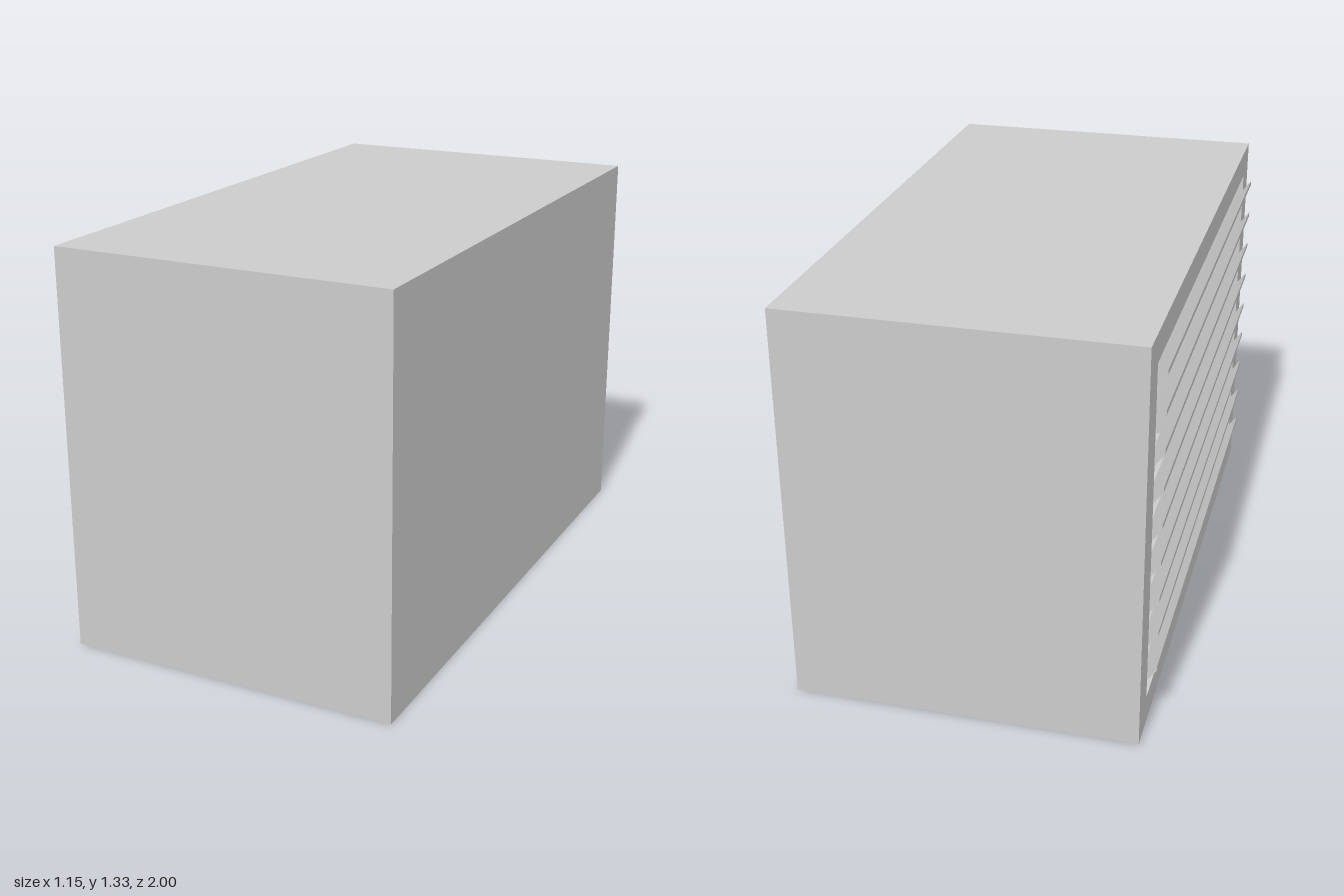
import * as THREE from 'three';

const HEIGHT = 1.333, LENGTH = 2;
const OPEN_X = -0.547, BACK_X = 0.577, PANEL = 0.037; // open side, closed side, closed wall thickness
const HOLE_Z = 0.89, HOLE_BOTTOM = 0.097, HOLE_TOP = 1.238;

function polygon(points, Type = THREE.Shape) {
  return new Type(points.map(([x, y]) => new THREE.Vector2(x, y)));
}

function rectangle(x0, y0, x1, y1, Type) {
  return polygon([[x0, y0], [x1, y0], [x1, y1], [x0, y1]], Type);
}

export function createModel() {
  const model = new THREE.Group();
  const material = new THREE.MeshStandardMaterial({ color: 0xcccccc, flatShading: true });
  const add = (name, geometry, parent = model) => {
    const mesh = new THREE.Mesh(geometry, material);
    mesh.name = name;
    parent.add(mesh);
    return mesh;
  };

  // Thick hollow casing, extruded along x
  const section = rectangle(-LENGTH / 2, 0, LENGTH / 2, HEIGHT);
  section.holes.push(rectangle(-HOLE_Z, HOLE_BOTTOM, HOLE_Z, HOLE_TOP, THREE.Path));
  const casing = new THREE.ExtrudeGeometry(section, {
    depth: BACK_X - PANEL - OPEN_X, bevelEnabled: false,
  });
  casing.rotateY(Math.PI / 2).translate(OPEN_X, 0, 0);
  add('casing', casing);

  // Panel closing the far side
  const panel = new THREE.BoxGeometry(PANEL, HEIGHT, LENGTH);
  panel.translate(BACK_X - PANEL / 2, HEIGHT / 2, 0);
  add('closedSide', panel);

  // Slanted louvre slats centred on the opening plane, outer edge high
  const louvres = new THREE.Group();
  louvres.name = 'louvres';
  model.add(louvres);
  const reach = 0.03, drop = 0.041, half = 0.008;
  const slat = new THREE.ExtrudeGeometry(polygon([
    [-reach, drop - half], [reach, -drop - half],
    [reach, -drop + half], [-reach, drop + half],
  ]), { depth: 2 * HOLE_Z, bevelEnabled: false });
  slat.translate(0, 0, -HOLE_Z);
  const count = 9, pitch = 0.1252;
  for (let i = 0; i < count; i++) {
    const y = (HOLE_BOTTOM + HOLE_TOP) / 2 + (i - (count - 1) / 2) * pitch;
    add('louvreSlat', slat, louvres).position.set(OPEN_X, y + 0.003, 0);
  }
  return model;
}
